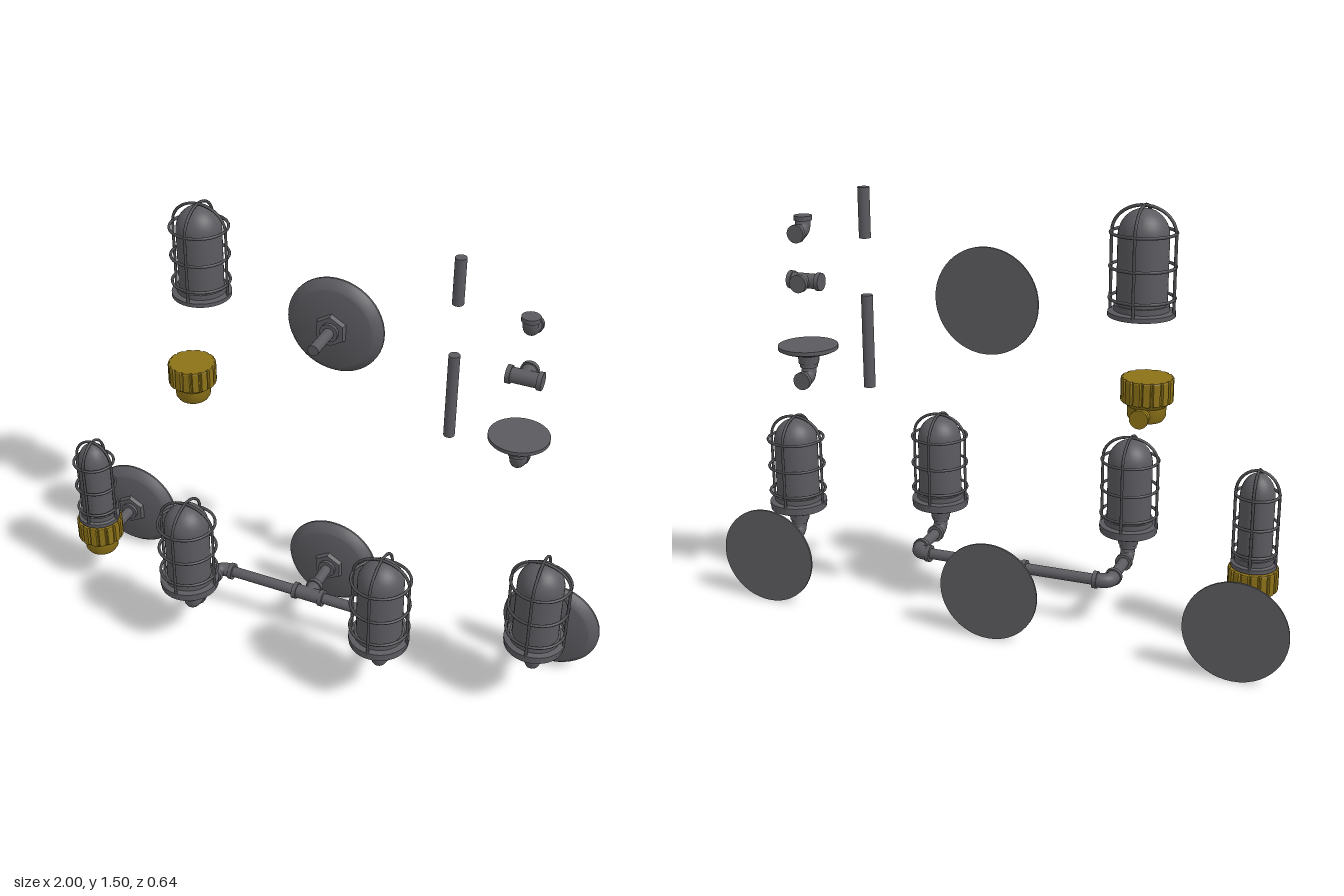
import * as THREE from 'three';
import { toCreasedNormals } from 'three/addons/utils/BufferGeometryUtils.js';

const iron = new THREE.MeshStandardMaterial({ color: 0x5b5a5f });
iron.name = 'iron grey';
const wire = new THREE.MeshStandardMaterial({ color: 0x4c4c50 });
wire.name = 'cage grey';
const brass = new THREE.MeshStandardMaterial({ color: 0x8c7218 });
brass.name = 'brass';

const V = (x, y, z) => new THREE.Vector3(x, y, z);

function add(parent, name, geometry, material = iron) {
  const mesh = new THREE.Mesh(geometry, material);
  mesh.name = name;
  parent.add(mesh);
  return mesh;
}

function group(parent, name, x = 0, y = 0, z = 0) {
  const g = new THREE.Group();
  g.name = name;
  g.position.set(x, y, z);
  parent.add(g);
  return g;
}

// Turned part with crisp edges; profile runs bottom to top
function turned(profile, segments = 40) {
  const points = profile.map(([r, y]) => new THREE.Vector2(r, y));
  return toCreasedNormals(new THREE.LatheGeometry(points, segments), 0.6);
}

// Straight round bar between two points
function bar(parent, name, a, b, r = 0.019, material = iron) {
  const dir = b.clone().sub(a);
  const mesh = add(parent, name, new THREE.CylinderGeometry(r, r, dir.length(), 20), material);
  mesh.position.copy(a).add(b).multiplyScalar(0.5);
  mesh.quaternion.setFromUnitVectors(V(0, 1, 0), dir.normalize());
  return mesh;
}

// Round wall plate facing +z with hex boss and pipe stem
function wallPlate(parent, x, y, stemEnd) {
  const g = group(parent, 'wallPlate', x, y, -0.22);
  const disc = add(g, 'plateDisc', turned([
    [0, 0], [0.171, 0], [0.171, 0.007], [0.163, 0.018], [0.146, 0.036], [0.138, 0.039], [0, 0.041]], 48));
  disc.rotation.x = Math.PI / 2;
  const hex = add(g, 'hexBoss', new THREE.CylinderGeometry(0.053, 0.059, 0.016, 6).toNonIndexed());
  hex.geometry.computeVertexNormals();
  hex.rotation.x = Math.PI / 2;
  hex.position.z = 0.047;
  bar(g, 'bossCollar', V(0, 0, 0.05), V(0, 0, 0.066), 0.032);
  bar(g, 'stem', V(0, 0, 0.05), V(0, 0, stemEnd + 0.22));
}

// Pipe elbow: one leg up, one leg to the back
function elbow(parent, x, y, z) {
  const g = group(parent, 'elbow', x, y, z);
  const path = new THREE.CatmullRomCurve3([
    V(0, 0.05, 0), V(0, 0.03, 0), V(0, 0.009, -0.009), V(0, 0, -0.03), V(0, 0, -0.055)]);
  add(g, 'elbowBend', new THREE.TubeGeometry(path, 20, 0.025, 20));
  bar(g, 'upperRim', V(0, 0.037, 0), V(0, 0.052, 0), 0.03);
  bar(g, 'backRim', V(0, 0, -0.042), V(0, 0, -0.057), 0.03);
  return g;
}

// Pipe tee: run along x, branch to the back
function tee(parent, x, y, z) {
  const g = group(parent, 'tee', x, y, z);
  bar(g, 'teeRun', V(-0.055, 0, 0), V(0.055, 0, 0), 0.025);
  bar(g, 'teeBranch', V(0, 0, 0), V(0, 0, -0.055), 0.025);
  for (const s of [-1, 1]) bar(g, 'runRim', V(s * 0.043, 0, 0), V(s * 0.058, 0, 0), 0.03);
  bar(g, 'branchRim', V(0, 0, -0.042), V(0, 0, -0.057), 0.03);
}

// Lamp holder flange sitting on an elbow; y is the axis of the lower leg
function holder(parent, x, y, z) {
  const g = group(parent, 'lampHolder', x, y, z);
  elbow(g, 0, 0, 0);
  add(g, 'holderFlange', turned([
    [0, 0.05], [0.034, 0.05], [0.036, 0.078], [0.055, 0.088], [0.09, 0.095],
    [0.1, 0.1], [0.1, 0.113], [0, 0.113]]));
}

// Domed lamp with wire guard
function lamp(parent, x, y, z, glassR, cageR) {
  const g = group(parent, 'cagedLamp', x, y, z);
  add(g, 'lampBase', turned([
    [0, 0], [cageR, 0], [cageR, 0.014], [glassR + 0.007, 0.018], [glassR + 0.007, 0.036], [0, 0.036]]));
  const profile = [[glassR, 0.03], [glassR, 0.24]];
  for (let i = 1; i <= 10; i++) {
    const a = (i / 10) * Math.PI / 2;
    profile.push([i === 10 ? 0 : glassR * Math.cos(a), 0.24 + 0.081 * Math.sin(a)]);
  }
  add(g, 'globe', turned(profile));
  // Two crossing hoops and three rings
  const r = cageR - 0.004;
  const points = [V(r, 0.005, 0), V(r, 0.13, 0)];
  for (let i = 0; i <= 16; i++) {
    const a = (i / 16) * Math.PI;
    points.push(V(r * Math.cos(a), 0.248 + 0.082 * Math.sin(a), 0));
  }
  points.push(V(-r, 0.13, 0), V(-r, 0.005, 0));
  const hoop = new THREE.TubeGeometry(new THREE.CatmullRomCurve3(points), 60, 0.005, 8);
  for (let i = 0; i < 2; i++) add(g, 'cageHoop', hoop, wire).rotation.y = i * Math.PI / 2;
  for (const h of [0.054, 0.149, 0.25]) {
    const ring = add(g, 'cageRing', new THREE.TorusGeometry(r, 0.005, 8, 40), wire);
    ring.rotation.x = Math.PI / 2;
    ring.position.y = h;
  }
}

// Brass cup with grooved collar and rear inlet; y is the bottom
function brassCup(parent, x, y, z) {
  const g = group(parent, 'brassCup', x, y, z);
  add(g, 'cupBody', turned([
    [0, 0], [0.035, 0.001], [0.052, 0.007], [0.06, 0.02], [0.062, 0.055],
    [0.072, 0.064], [0.076, 0.075], [0.076, 0.145], [0, 0.145]]), brass);
  const shape = new THREE.Shape();
  const teeth = 16;
  for (let i = 0; i < teeth; i++) {
    [[0, 0.074], [0.22, 0.074], [0.32, 0.081], [0.9, 0.081]].forEach(([f, r], k) => {
      const a = ((i + f) / teeth) * Math.PI * 2;
      shape[i + k === 0 ? 'moveTo' : 'lineTo'](r * Math.cos(a), r * Math.sin(a));
    });
  }
  shape.closePath();
  const collar = add(g, 'groovedCollar', new THREE.ExtrudeGeometry(shape, {
    depth: 0.068, bevelEnabled: true, bevelThickness: 0.004, bevelSize: 0.002, bevelSegments: 1 }), brass);
  collar.rotation.x = -Math.PI / 2;
  collar.position.y = 0.073;
  bar(g, 'inlet', V(0, 0.034, 0), V(0, 0.034, -0.095), 0.026, brass);
  bar(g, 'inletRim', V(0, 0.034, -0.082), V(0, 0.034, -0.095), 0.03, brass);
}

export function createModel() {
  const model = new THREE.Group();
  model.name = 'pipeLampSet';
  const axis = 0.179;

  // Left-hand sconce with brass cup
  const sconceA = group(model, 'brassSconce');
  wallPlate(sconceA, -0.829, axis, -0.03);
  brassCup(sconceA, -0.829, 0.147, 0.042);
  lamp(sconceA, -0.829, 0.297, 0.042, 0.057, 0.075);

  // Twin sconce
  const twin = group(model, 'twinSconce');
  wallPlate(twin, 0, axis, -0.02);
  tee(twin, 0, axis, -0.003);
  for (const s of [-1, 1]) {
    const x = s * 0.356;
    bar(twin, 'crossPipe', V(s * 0.03, axis, -0.003), V(x - s * 0.03, axis, -0.003));
    const corner = elbow(twin, x, axis, -0.003);
    // Turn the corner so its legs point inward and to the front
    corner.quaternion.setFromRotationMatrix(new THREE.Matrix4().makeBasis(
      V(0, s, 0), V(0, 0, 1), V(s, 0, 0)));
    bar(twin, 'armPipe', V(x, axis, 0.03), V(x, axis, 0.19));
    holder(twin, x, axis, 0.217);
    lamp(twin, x, 0.292, 0.217, 0.077, 0.102);
  }

  // Single sconce
  const sconceB = group(model, 'singleSconce');
  wallPlate(sconceB, 0.829, axis, -0.02);
  holder(sconceB, 0.829, axis, 0.016);
  lamp(sconceB, 0.829, 0.292, 0.016, 0.077, 0.102);

  // Loose parts
  const spares = group(model, 'looseParts');
  lamp(spares, -0.497, 1.173, -0.22, 0.077, 0.102);
  brassCup(spares, -0.497, 0.808, -0.125);
  wallPlate(spares, 0, 1.171, -0.034);
  bar(spares, 'shortPipe', V(0.41, 1.342, -0.22), V(0.41, 1.503, -0.22));
  bar(spares, 'longPipe', V(0.41, 0.85, -0.22), V(0.41, 1.157, -0.22));
  elbow(spares, 0.66, 1.335, -0.163);
  tee(spares, 0.66, 1.17, -0.163);
  holder(spares, 0.66, 0.84, -0.167);

  return model;
}
